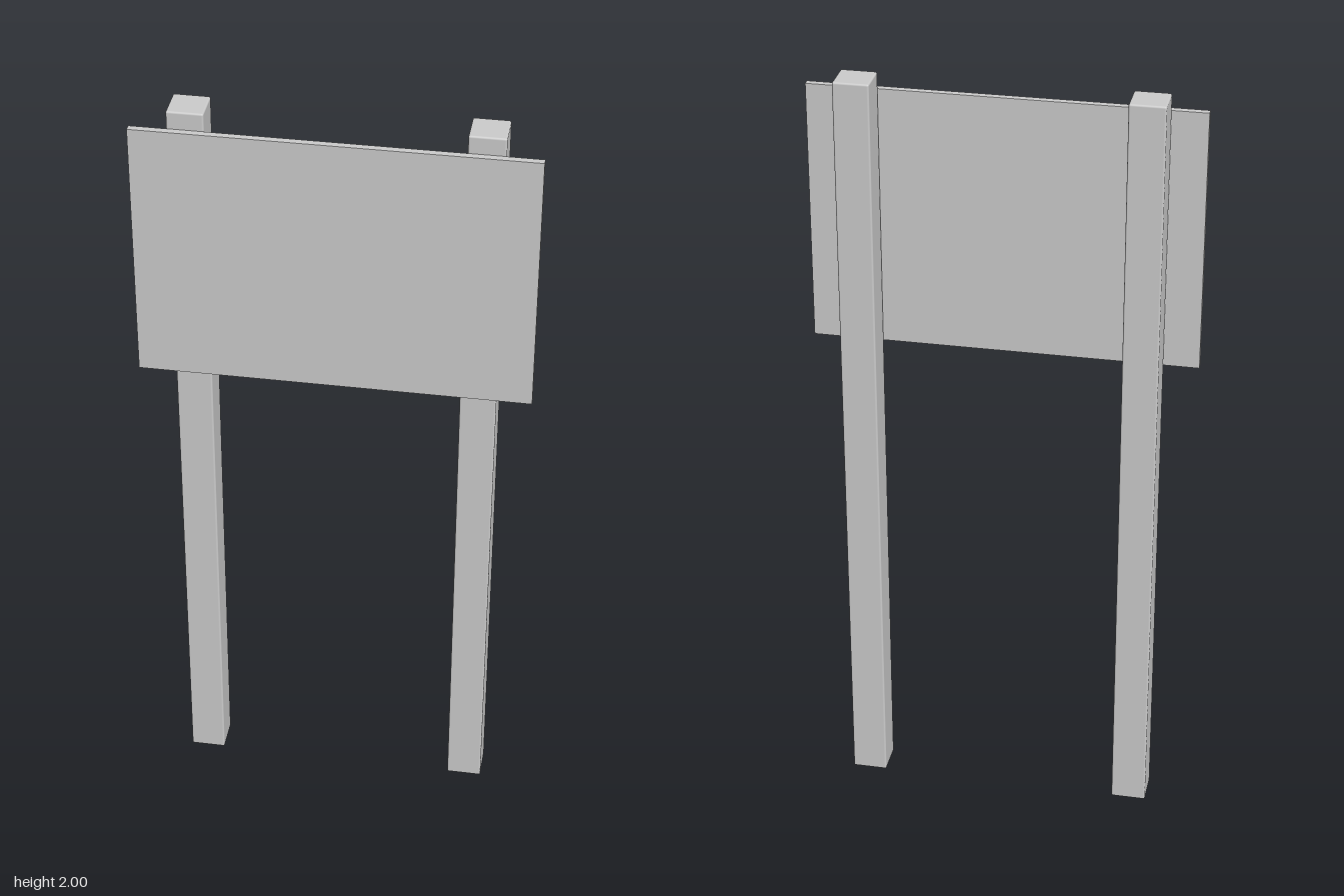
import * as THREE from 'three';
import { RoundedBoxGeometry } from 'three/addons/geometries/RoundedBoxGeometry.js';

export function createModel() {
  const model = new THREE.Group();
  model.name = 'signboard';

  const grey = new THREE.MeshStandardMaterial({ color: 0xcccccc });
  grey.name = 'light grey';

  // Two square posts with slightly eased edges
  const postGeometry = new RoundedBoxGeometry(0.091, 2, 0.091, 2, 0.005);
  for (const [name, side] of [['leftPost', 1], ['rightPost', -1]]) {
    const post = new THREE.Mesh(postGeometry, grey);
    post.name = name;
    post.position.set(side * 0.358, 1, -0.01);
    model.add(post);
  }

  // Thin blank panel on the front of the posts
  const panel = new THREE.Mesh(new THREE.BoxGeometry(0.988, 0.68, 0.018), grey);
  panel.name = 'panel';
  panel.position.set(0, 1.615, 0.046);
  model.add(panel);

  return model;
}
